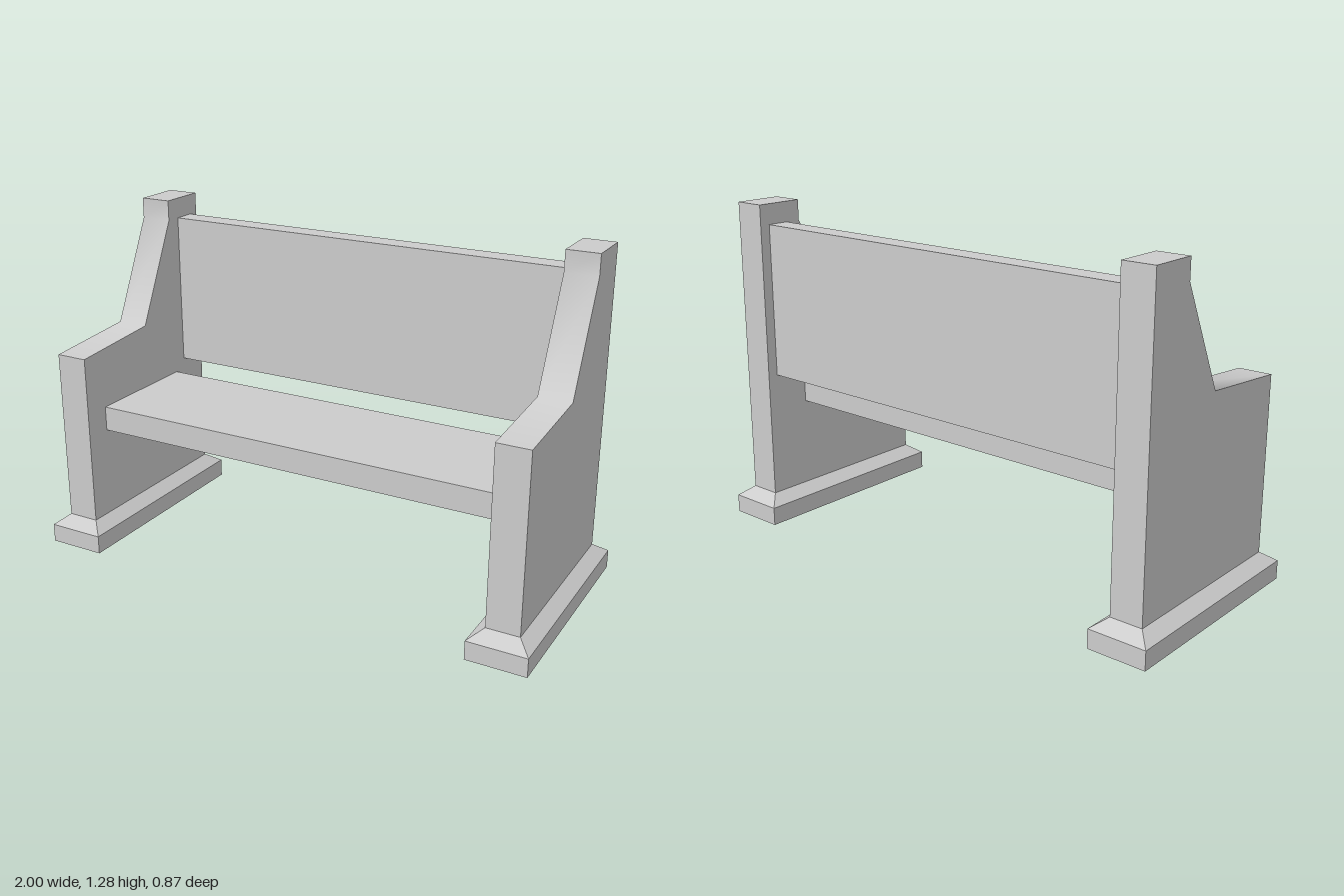
import * as THREE from 'three';
import { toCreasedNormals } from 'three/addons/utils/BufferGeometryUtils.js';

const material = new THREE.MeshStandardMaterial({ color: 0xcccccc });
const SIDE_X = 0.8875; // centre of each end
const THICK = 0.125;   // thickness of an end panel

function addMesh(parent, name, geometry, x = 0, y = 0, z = 0) {
  const mesh = new THREE.Mesh(geometry, material);
  mesh.name = name;
  mesh.position.set(x, y, z);
  parent.add(mesh);
}

// Side profile drawn in (z, y), extruded across x; the armrest edge is softly shaded
function endPanelGeometry() {
  const profile = [
    [-0.38, 0.11], [0.38, 0.11], [0.38, 0.78], [0, 0.81],
    [-0.19, 1.2], [-0.19, 1.28], [-0.38, 1.28],
  ].map(([z, y]) => new THREE.Vector2(z, y));
  const geometry = new THREE.ExtrudeGeometry(new THREE.Shape(profile), { depth: THICK, bevelEnabled: false });
  geometry.translate(0, 0, -THICK / 2);
  geometry.rotateY(-Math.PI / 2);
  return toCreasedNormals(geometry, 1.2);
}

// Plinth: straight lower block, chamfered in to the panel's footprint
function footGeometry() {
  const geometry = new THREE.BoxGeometry(0.225, 0.11, 0.865, 1, 2, 1).toNonIndexed();
  const p = geometry.attributes.position;
  for (let i = 0; i < p.count; i++) {
    const y = p.getY(i);
    if (y > 0.01) {
      p.setXYZ(i, Math.sign(p.getX(i)) * THICK / 2, 0.11, Math.sign(p.getZ(i)) * 0.38);
    } else {
      p.setY(i, y < -0.01 ? 0 : 0.072);
    }
  }
  geometry.computeVertexNormals();
  return geometry;
}

export function createModel() {
  const bench = new THREE.Group();
  bench.name = 'bench';

  // Two matching ends
  const panel = endPanelGeometry();
  const foot = footGeometry();
  for (const [side, sign] of [['left', 1], ['right', -1]]) {
    const end = new THREE.Group();
    end.name = `${side}End`;
    end.position.x = sign * SIDE_X;
    addMesh(end, `${side}Panel`, panel);
    addMesh(end, `${side}Foot`, foot);
    bench.add(end);
  }

  // Boards spanning between the ends
  const span = 2 * SIDE_X - THICK;
  addMesh(bench, 'seat', new THREE.BoxGeometry(span, 0.096, 0.475), 0, 0.507, 0.04);
  addMesh(bench, 'backrest', new THREE.BoxGeometry(span, 0.6, 0.087), 0, 0.9, -0.295);

  return bench;
}
